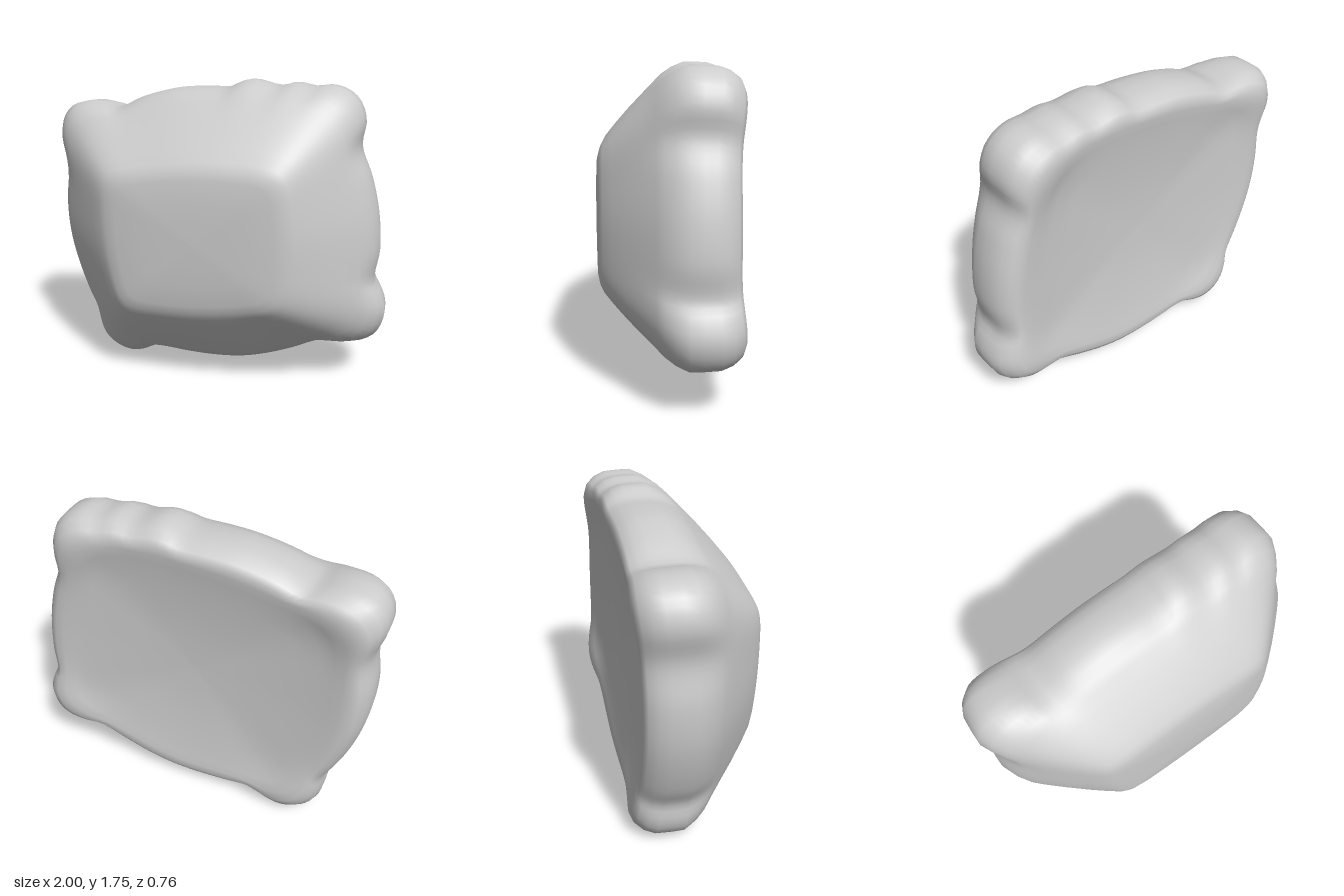
import * as THREE from 'three';

const N = 160;
// silhouette of the pillow at its seam, clockwise from the left side (+x)
const OUTLINE = [
  [0.95, 0.8], [0.93, 0.62], [0.97, 0.55], [1.0, 0.44], [0.96, 0.32], [0.88, 0.26], [0.77, 0.24], [0.67, 0.25],
  [0.5, 0.17], [0.35, 0.11], [0.18, 0.065], [0, 0.05], [-0.2, 0.055], [-0.39, 0.075], [-0.45, 0.04], [-0.52, 0.01],
  [-0.6, 0.003], [-0.7, 0.045], [-0.76, 0.11], [-0.785, 0.2], [-0.785, 0.29], [-0.86, 0.43], [-0.93, 0.62],
  [-0.97, 0.8], [-0.98, 1.0], [-0.955, 1.22], [-1.0, 1.4], [-0.98, 1.5], [-0.92, 1.57], [-0.81, 1.6], [-0.7, 1.59],
  [-0.62, 1.57], [-0.45, 1.64], [-0.25, 1.69], [-0.1, 1.7], [0.07, 1.705], [0.13, 1.735], [0.2, 1.747],
  [0.35, 1.715], [0.44, 1.735], [0.55, 1.715], [0.63, 1.725], [0.72, 1.7], [0.79, 1.64], [0.83, 1.53],
  [0.815, 1.39], [0.88, 1.22], [0.93, 1.02],
];
// tips of the puffed corners and the matching corners of the raised front panel
const TIPS = [[0.97, 0.33], [-0.7, 0.05], [-0.96, 1.53], [0.78, 1.66]];
const PANEL = [[0.48, 0.56], [-0.45, 0.48], [-0.53, 1.24], [0.46, 1.3]];
const CENTRE = new THREE.Vector3(0, 0.89, 0);

// ring profiles: [inset, z]
const BACK = [[1, -0.288], [0.8, -0.291], [0.6, -0.299], [0.4, -0.316], [0.28, -0.329], [0.2, -0.339],
  [0.14, -0.348], [0.09, -0.35], [0.055, -0.332], [0.022, -0.285], [0.004, -0.23]];
const SIDE = [[0, -0.17], [0, -0.1], [0.05, -0.035], [0.12, 0.02], [0.2, 0.06], [0.35, 0.125], [0.55, 0.205],
  [0.75, 0.278], [0.9, 0.328], [1, 0.35]];
const FRONT = [[0.88, 0.364], [0.6, 0.374], [0.3, 0.378], [0, 0.38]];

const vec = ([x, y]) => new THREE.Vector3(x, y, 0);

// moving average along a closed ring
const smooth = (ring, w) => ring.map((_, i) => {
  const p = new THREE.Vector3();
  for (let k = -w; k <= w; k++) p.add(ring[(i + k + N) % N]);
  return p.divideScalar(2 * w + 1);
});

function buildCushion() {
  const outer = new THREE.CatmullRomCurve3(OUTLINE.map(vec), true).getSpacedPoints(N).slice(0, N);
  // softened outline, used where the corner puffs fade into the sides
  const soft = smooth(smooth(outer, 5), 4);

  // index of each corner tip on the outline
  const tips = TIPS.map((t) => {
    const d = outer.map((p) => p.distanceTo(vec(t)));
    return d.indexOf(Math.min(...d));
  });

  // front panel edge, one point per outline point, bowed, with rounded corners
  const edge = [], puff = [];
  for (let c = 0; c < 4; c++) {
    const next = (c + 1) % 4;
    const span = (tips[next] - tips[c] + N) % N;
    for (let k = 0; k < span; k++) {
      const t = k / span, i = (tips[c] + k) % N;
      const p = vec(PANEL[c]).lerp(vec(PANEL[next]), t);
      const out = p.clone().sub(CENTRE).normalize();
      edge[i] = p.addScaledVector(out, 0.04 * Math.sin(Math.PI * t) - 0.01);
      puff[i] = Math.exp(-((Math.min(k, span - k) / 6) ** 2));
    }
  }
  const panel = smooth(smooth(edge, 4), 4);

  const rings = [];
  // back: shallow dish inside a rounded rim, with the corners bulging slightly
  for (const [t, z] of BACK) {
    rings.push(outer.map((p, i) => {
      const q = p.clone().lerp(soft[i], Math.min(1, t * 6)).lerp(CENTRE, t);
      return q.setZ(z - 0.032 * puff[i] * THREE.MathUtils.smoothstep(0.28 - t, 0, 0.15));
    }));
  }
  // sides: from the seam up the slope to the panel edge
  for (const [t, z] of SIDE) {
    rings.push(outer.map((p, i) => p.clone().lerp(soft[i], Math.min(1, t * 4)).lerp(panel[i], t).setZ(z)));
  }
  // front panel, gently domed
  for (const [s, z] of FRONT) {
    rings.push(panel.map((p) => CENTRE.clone().lerp(p, s).setZ(z)));
  }

  // join neighbouring rings; the first and last close to a point
  const index = [];
  for (let j = 0; j < rings.length - 1; j++) {
    for (let i = 0; i < N; i++) {
      const a = j * N + i, b = j * N + (i + 1) % N;
      if (j > 0) index.push(a, a + N, b);
      if (j < rings.length - 2) index.push(b, a + N, b + N);
    }
  }
  const geometry = new THREE.BufferGeometry().setFromPoints(rings.flat());
  geometry.setIndex(index);
  geometry.computeVertexNormals();
  return geometry;
}

export function createModel() {
  const fabric = new THREE.MeshStandardMaterial({ color: 0xcccccc });
  fabric.name = 'grey fabric';
  const cushion = new THREE.Mesh(buildCushion(), fabric);
  cushion.name = 'cushion';
  const group = new THREE.Group();
  group.name = 'pillow';
  group.add(cushion);
  return group;
}
